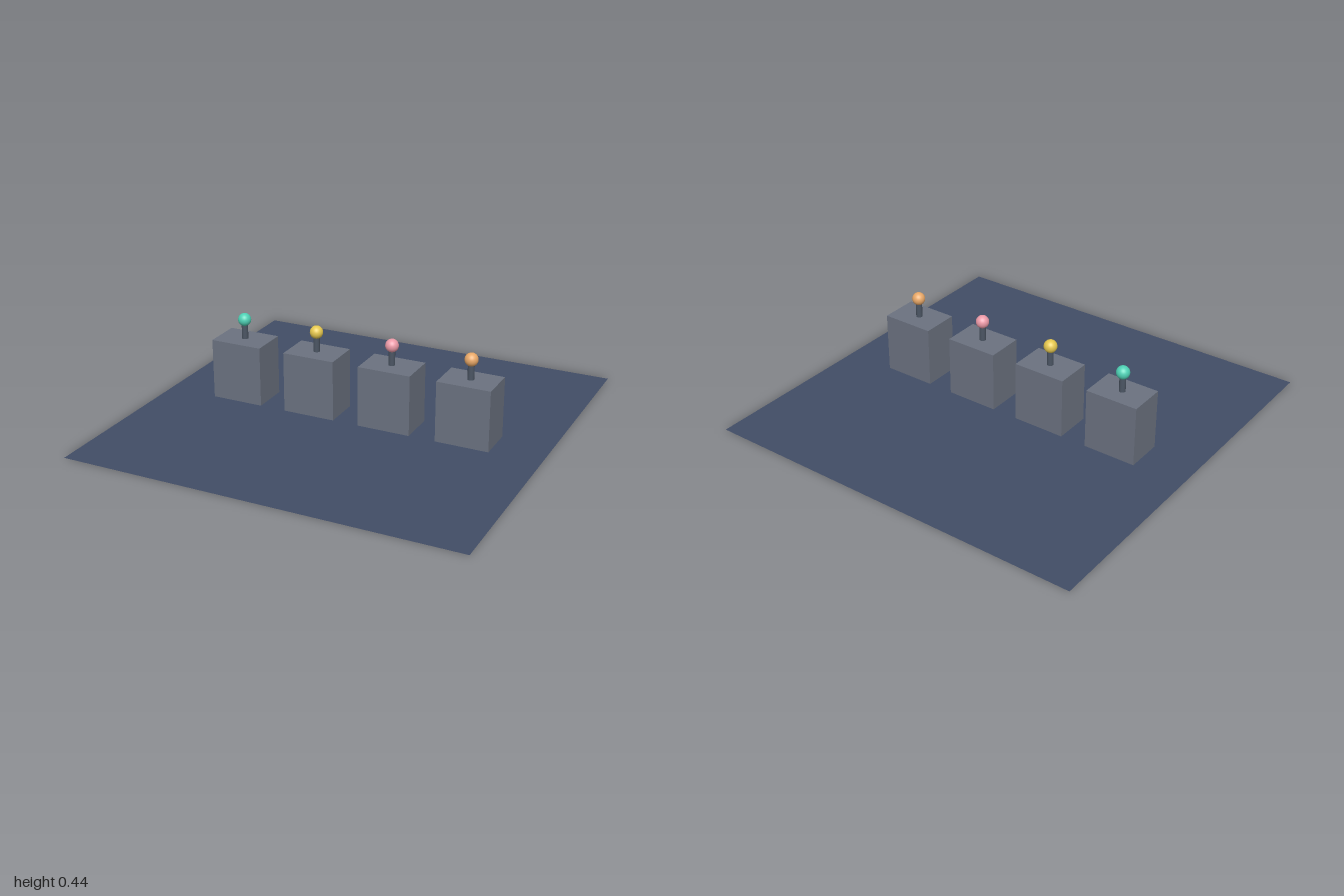
import * as THREE from 'three';

const material = (color, extra = {}) => new THREE.MeshStandardMaterial({ color, ...extra });

function addPart(parent, name, geometry, mat, y) {
  const mesh = new THREE.Mesh(geometry, mat);
  mesh.name = name;
  mesh.position.y = y;
  parent.add(mesh);
  return mesh;
}

export function createModel() {
  const model = new THREE.Group();
  model.name = 'pedestalRow';

  // Thin square floor sheet
  const floor = new THREE.PlaneGeometry(2, 2).rotateX(-Math.PI / 2);
  addPart(model, 'floorSheet', floor, material(0x414d66, { side: THREE.DoubleSide }), 0);

  // Shared shapes: block, short post, ball
  const blockHeight = 0.308;
  const postHeight = 0.08;
  const block = new THREE.BoxGeometry(0.27, blockHeight, 0.19);
  const post = new THREE.CylinderGeometry(0.016, 0.016, postHeight, 16);
  const ball = new THREE.SphereGeometry(0.033, 24, 16);
  const blockMat = material(0x6b7280);
  const postMat = material(0x4b5563);

  // Four pedestals, each with its own ball colour
  const ballColors = [0x4fd1b5, 0xe6c84f, 0xec9aa8, 0xe8a868];
  ballColors.forEach((color, i) => {
    const pedestal = new THREE.Group();
    pedestal.name = `pedestal${i + 1}`;
    pedestal.position.x = (i - 1.5) * 0.404;
    addPart(pedestal, 'block', block, blockMat, blockHeight / 2);
    addPart(pedestal, 'post', post, postMat, blockHeight + postHeight / 2);
    addPart(pedestal, 'ball', ball, material(color), 0.408);
    model.add(pedestal);
  });

  return model;
}
